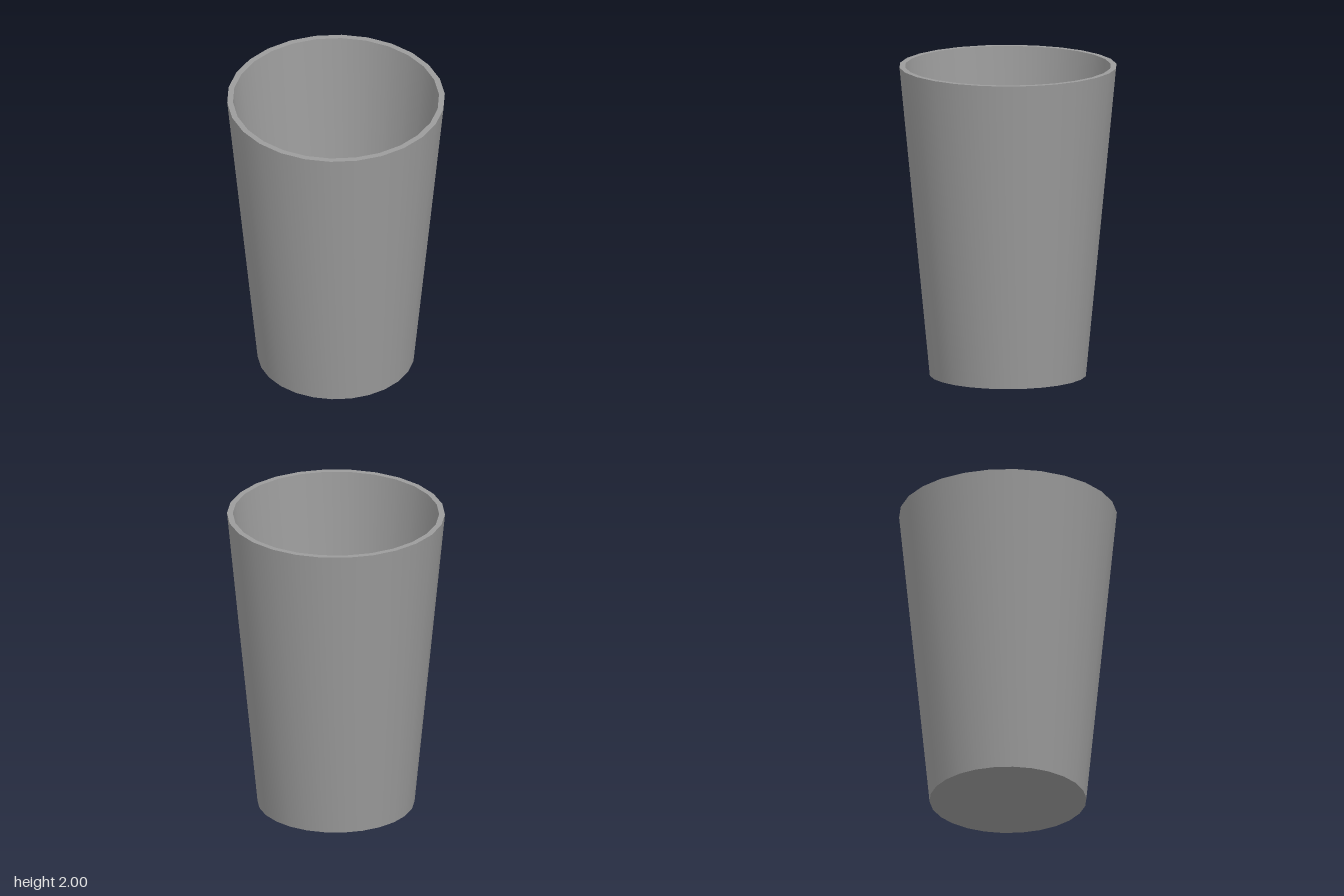
import * as THREE from 'three';
import { toCreasedNormals } from 'three/addons/utils/BufferGeometryUtils.js';

const SIDES = 26;

export function createModel() {
  const group = new THREE.Group();
  group.name = 'tumbler';
  const material = new THREE.MeshStandardMaterial({ color: 0x9b9b9b });

  // Closed profile: underside, outer wall, rim, inner wall, inner floor
  const profile = [
    [0, 0],
    [0.5, 0],
    [0.694, 2],
    [0.657, 2],
    [0.473, 0.105],
    [0, 0.105],
  ].map(([r, y]) => new THREE.Vector2(r, y));

  // Start a quarter turn round so that corners lie on the x axis
  const lathe = new THREE.LatheGeometry(profile, SIDES, Math.PI / 2);

  // Smooth around the walls, sharp at the rim and the base
  const cup = new THREE.Mesh(toCreasedNormals(lathe, Math.PI / 6), material);
  cup.name = 'cup';
  group.add(cup);

  return group;
}
